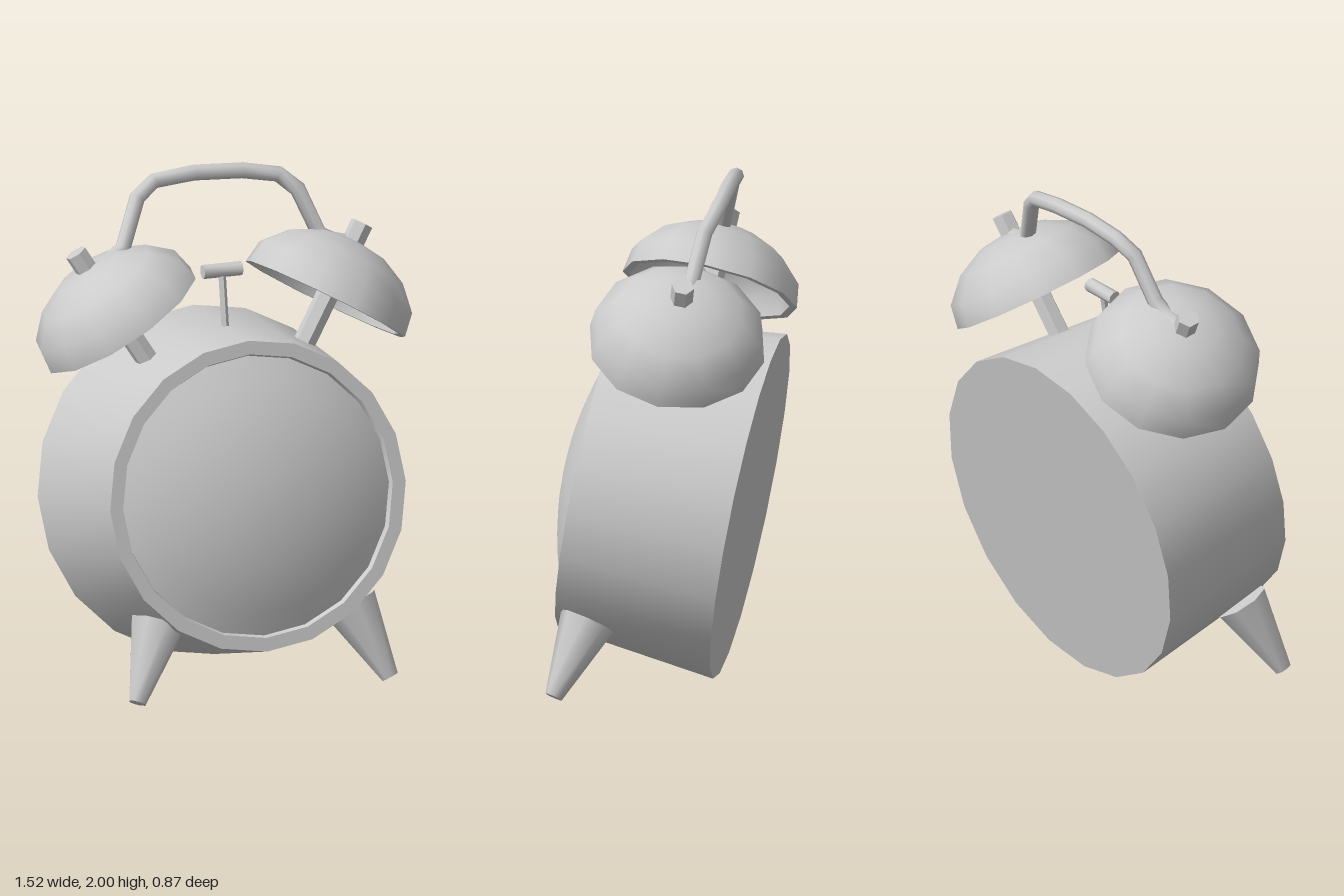
import * as THREE from 'three';
import { toCreasedNormals } from 'three/addons/utils/BufferGeometryUtils.js';

const metal = new THREE.MeshStandardMaterial({ color: 0xcccccc });
const vec = (x, y, z) => new THREE.Vector3(x, y, z);

function addMesh(parent, name, geometry) {
  const mesh = new THREE.Mesh(geometry, metal);
  mesh.name = name;
  parent.add(mesh);
  return mesh;
}

function lathe(profile, sides, crease) {
  const points = profile.map(([r, y]) => new THREE.Vector2(r, y));
  return toCreasedNormals(new THREE.LatheGeometry(points, sides), crease);
}

// Straight or tapered rod from a to b
function addRod(parent, name, a, b, ra, rb, sides) {
  const geometry = toCreasedNormals(new THREE.CylinderGeometry(rb, ra, a.distanceTo(b), sides), 0.85);
  const rod = addMesh(parent, name, geometry);
  rod.position.copy(a).add(b).multiplyScalar(0.5);
  rod.quaternion.setFromUnitVectors(vec(0, 1, 0), b.clone().sub(a).normalize());
  return rod;
}

export function createModel() {
  const clock = new THREE.Group();
  clock.name = 'alarmClock';

  // Everything but feet and handle leans back with the case
  const tilted = new THREE.Group();
  tilted.name = 'tiltedClock';
  tilted.position.y = 0.738;
  tilted.rotation.x = THREE.MathUtils.degToRad(-10);
  clock.add(tilted);

  // Case: tapered drum with a raised front rim
  const body = addMesh(tilted, 'case', lathe(
    [[0, -0.322], [0.69, -0.322], [0.614, 0.318], [0.56, 0.318], [0.55, 0.285], [0, 0.285]], 20, 0.6));
  body.rotation.x = Math.PI / 2;

  // Domed glass: shallow spherical cap
  const edge = 0.553, rise = 0.125, base = 0.293;
  const radius = (edge * edge + rise * rise) / (2 * rise);
  const cap = [];
  for (let i = 0; i <= 6; i++) {
    const r = edge * (1 - i / 6);
    cap.push([r, base + rise - radius + Math.sqrt(radius * radius - r * r)]);
  }
  const glass = addMesh(tilted, 'glass', lathe(cap, 20, 0.6));
  glass.rotation.x = Math.PI / 2;

  // Bells on posts pointing out from the case centre
  for (const side of [1, -1]) {
    const label = side > 0 ? 'left' : 'right';
    const bellGroup = new THREE.Group();
    bellGroup.name = label + 'BellGroup';
    bellGroup.position.z = 0.03;
    bellGroup.rotation.z = -side * THREE.MathUtils.degToRad(31);
    tilted.add(bellGroup);
    const bell = addMesh(bellGroup, label + 'Bell', lathe(
      [[0, 0.22], [0.13, 0.205], [0.23, 0.145], [0.3, 0.07], [0.32, -0.01],
        [0.35, -0.01], [0.335, 0.085], [0.25, 0.175], [0.14, 0.23], [0, 0.25]], 12, 0.8));
    bell.position.y = 0.835;
    addRod(bellGroup, label + 'BellPost', vec(0, 0.58, 0), vec(0, 1.155, 0), 0.045, 0.045, 6);

    // Tapered foot
    addRod(clock, label + 'Foot', vec(side * 0.525, 0.02, 0.38), vec(side * 0.4, 0.3, 0.265), 0.035, 0.112, 8);
  }

  // Hammer between the bells
  addRod(tilted, 'hammerStem', vec(0, 0.6, 0.045), vec(0, 0.86, 0.045), 0.015, 0.015, 6);
  addRod(tilted, 'hammerHead', vec(-0.08, 0.865, 0.045), vec(0.08, 0.865, 0.045), 0.028, 0.028, 8);

  // Bent carrying handle, one ring per bend
  const bends = [
    [-0.53, 1.65, -0.135], [-0.46, 1.67, -0.14], [-0.395, 1.715, -0.15], [-0.32, 1.9, -0.195],
    [-0.24, 1.953, -0.225], [-0.07, 1.968, -0.23], [0.13, 1.957, -0.23], [0.275, 1.93, -0.22],
    [0.345, 1.87, -0.19], [0.42, 1.69, -0.15], [0.47, 1.665, -0.14], [0.53, 1.65, -0.135],
  ].map((p) => vec(...p));
  const path = new THREE.CatmullRomCurve3(bends);
  path.getPointAt = (t, target) => path.getPoint(t, target);
  path.getTangentAt = (t, target) => path.getTangent(t, target);
  addMesh(clock, 'handle', new THREE.TubeGeometry(path, bends.length - 1, 0.032, 8));

  return clock;
}
